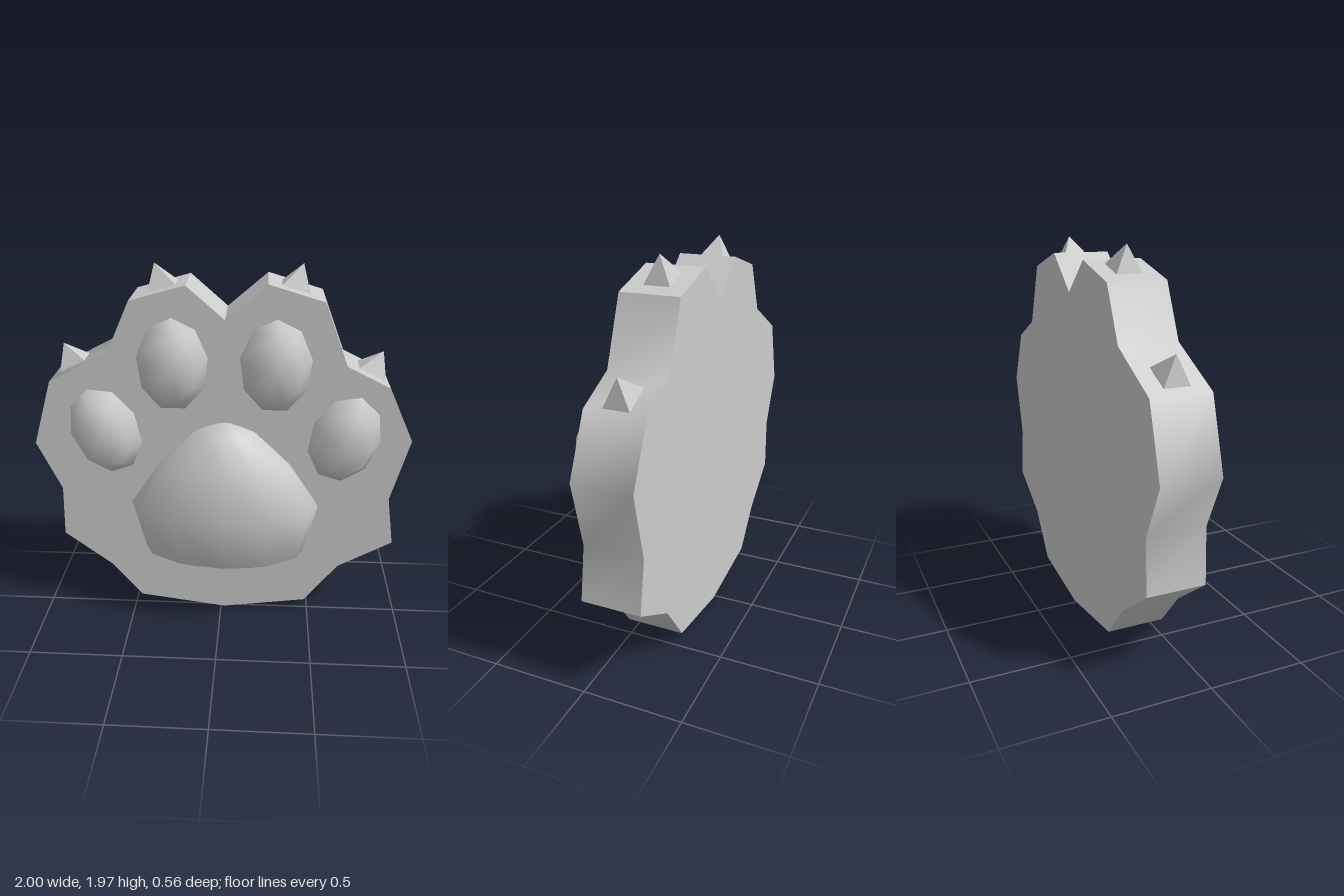
import * as THREE from 'three';
import { mergeVertices, toCreasedNormals } from 'three/addons/utils/BufferGeometryUtils.js';

const BACK = -0.28, FRONT = 0.02;

export function createModel() {
  const model = new THREE.Group();
  const smooth = new THREE.MeshStandardMaterial({ color: 0xcccccc });
  const faceted = new THREE.MeshStandardMaterial({ color: 0xcccccc, flatShading: true });

  function add(name, geometry, material) {
    const mesh = new THREE.Mesh(geometry, material);
    mesh.name = name;
    model.add(mesh);
    return mesh;
  }

  // Paw slab: hand-cut outline, anticlockwise from the bottom
  const outline = [
    [0.02, 0], [0.48, 0.065], [0.66, 0.3], [0.95, 0.465], [0.91, 0.735],
    [1, 1.08], [0.865, 1.37], [0.64, 1.48], [0.515, 1.805], [0.23, 1.89],
    [0.02, 1.71], [-0.175, 1.88], [-0.46, 1.8], [-0.58, 1.535], [-0.895, 1.37],
    [-1, 1.02], [-0.875, 0.75], [-0.885, 0.465], [-0.63, 0.27], [-0.46, 0.065],
  ];
  const shape = new THREE.Shape(outline.map(([x, y]) => new THREE.Vector2(x, y)));
  const slab = new THREE.ExtrudeGeometry(shape, { depth: FRONT - BACK, bevelEnabled: false });
  slab.translate(0, 0, BACK);
  add('pawSlab', toCreasedNormals(slab, 0.8), smooth);

  // Toe pads: nine-sided ellipsoids half sunk in the slab
  const toe = new THREE.SphereGeometry(1, 9, 4);
  toe.rotateX(Math.PI / 2).rotateZ(-Math.PI / 2);
  const toes = [
    ['rightOuterToe', -0.615, 1.1, 20],
    ['rightInnerToe', -0.25, 1.47, 0],
    ['leftInnerToe', 0.28, 1.47, 0],
    ['leftOuterToe', 0.65, 1.08, -17],
  ];
  for (const [name, x, y, tilt] of toes) {
    const mesh = add(name, toe, smooth);
    mesh.position.set(x, y, FRONT);
    mesh.rotation.z = THREE.MathUtils.degToRad(tilt);
    mesh.scale.set(0.186, 0.247, 0.14);
  }

  // Main pad: sphere narrowed towards the top, flattened and notched underneath
  const pad = new THREE.SphereGeometry(1, 12, 6);
  const p = pad.attributes.position;
  const lowerRings = [0.68, 0.4, 0.325, 0.385];
  for (let i = 0; i < p.count; i++) {
    const x = p.getX(i), y = p.getY(i), z = p.getZ(i);
    const ring = Math.round(Math.asin(THREE.MathUtils.clamp(y, -1, 1)) / (Math.PI / 6));
    const taper = 1 - 0.42 * Math.max(y, 0);
    let py = ring >= 0 ? 0.68 + 0.5 * y : lowerRings[-ring];
    if (ring === -2 && Math.abs(x) < 0.01) py = 0.39;
    p.setXYZ(i, 0.02 + 0.53 * x * taper, py, -0.02 + z * (z > 0 ? 0.3 : 0.2));
  }
  pad.deleteAttribute('uv');
  pad.deleteAttribute('normal');
  const padGeometry = mergeVertices(pad, 1e-4);
  padGeometry.computeVertexNormals();
  add('mainPad', padGeometry, smooth);

  // Claws: leaning pyramids on the rim, given by base ends and tip
  const unitPyramid = new THREE.ConeGeometry(Math.SQRT1_2, 1, 4);
  unitPyramid.rotateY(Math.PI / 4).translate(0, 0.5, 0);
  const claws = [
    ['rightOuterClaw', [-0.855, 1.395], [-0.72, 1.46], [-0.84, 1.535]],
    ['rightInnerClaw', [-0.375, 1.825], [-0.23, 1.86], [-0.345, 1.96]],
    ['leftInnerClaw', [0.3, 1.868], [0.44, 1.828], [0.405, 1.965]],
    ['leftOuterClaw', [0.71, 1.445], [0.85, 1.378], [0.835, 1.52]],
  ];
  for (const [name, a, b, tip] of claws) {
    const cx = (a[0] + b[0]) / 2, cy = (a[1] + b[1]) / 2;
    const matrix = new THREE.Matrix4().makeBasis(
      new THREE.Vector3(b[0] - a[0], b[1] - a[1], 0),
      new THREE.Vector3(tip[0] - cx, tip[1] - cy, 0),
      new THREE.Vector3(0, 0, 0.13),
    ).setPosition(cx, cy, -0.13);
    add(name, unitPyramid.clone().applyMatrix4(matrix), faceted);
  }

  return model;
}
